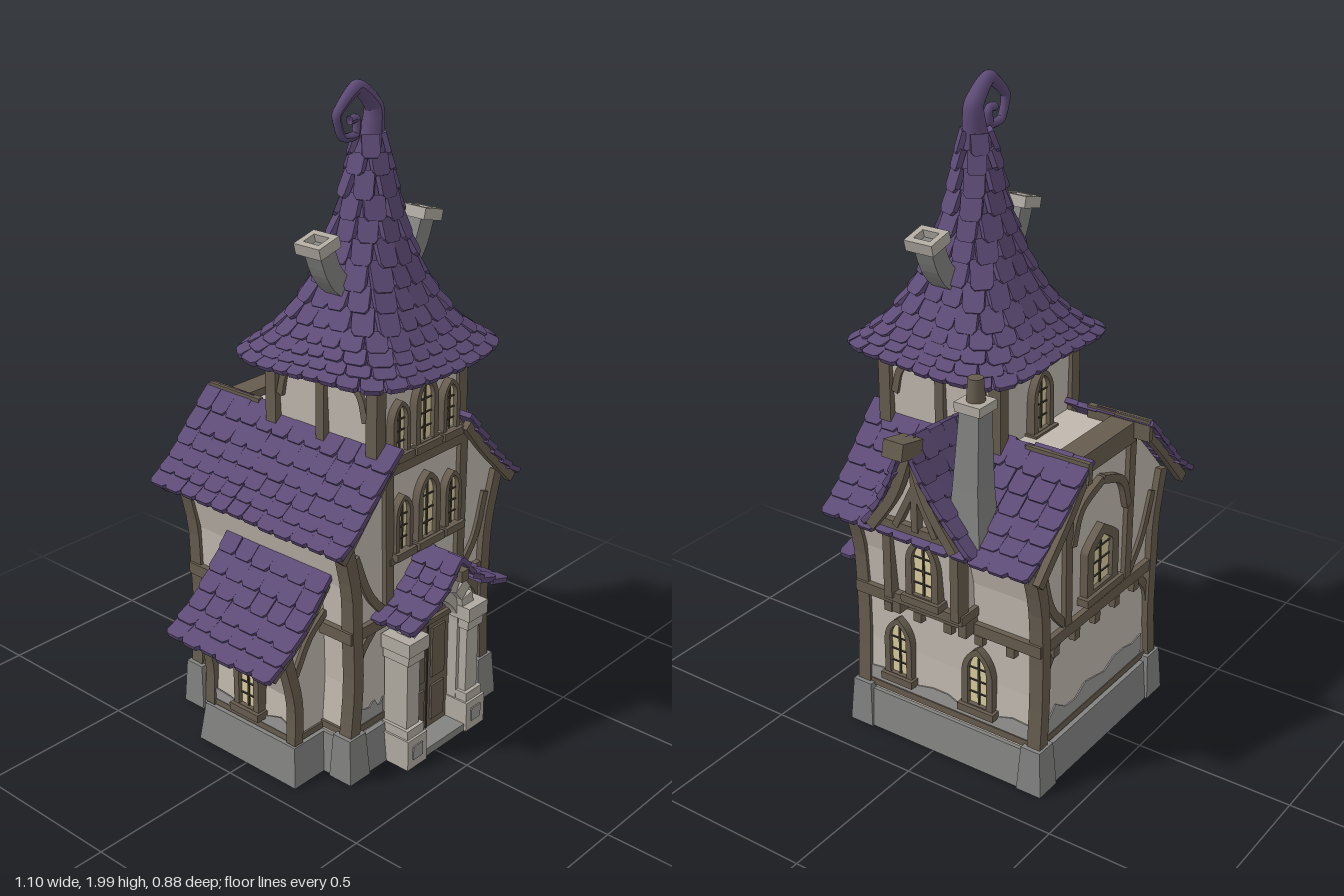
import * as THREE from 'three';
import { mergeGeometries } from 'three/addons/utils/BufferGeometryUtils.js';
import { ParametricGeometry } from 'three/addons/geometries/ParametricGeometry.js';

const mat = (name, color, side = THREE.FrontSide) => Object.assign(new THREE.MeshStandardMaterial({ color, side }), { name });
const M = {
  roof: mat('purple shingle', 0x5d4b76, THREE.DoubleSide), wood: mat('timber', 0x665c4e),
  wall: mat('cream plaster', 0xc0b8ae), trim: mat('pale stone', 0xb0aaa1),
  stone: mat('grey stone', 0x828281), stain: mat('bare plaster', 0x979694),
  pane: mat('warm glass', 0xd9cb9d), door: mat('door wood', 0x6a5f51), dark: mat('dark lead', 0x403a32),
};
const V = (x, y, z) => new THREE.Vector3(x, y, z);
let seed = 7;
const rnd = () => (seed = (seed * 16807) % 2147483647) / 2147483647;
const jit = (a) => (rnd() - 0.5) * 2 * a;

function add(g, name, geo, m) {
  const mesh = new THREE.Mesh(geo, m);
  mesh.name = name;
  g.add(mesh);
  return mesh;
}
// box given by its extents
function box(g, name, m, x0, x1, y0, y1, z0, z1) {
  const mesh = add(g, name, new THREE.BoxGeometry(x1 - x0, y1 - y0, z1 - z0), m);
  mesh.position.set((x0 + x1) / 2, (y0 + y1) / 2, (z0 + z1) / 2);
  return mesh;
}
// stacked rectangular sections: [y, x0, x1, z0, z1]
function loft(g, name, m, rings) {
  const pos = [], idx = [];
  for (const [y, x0, x1, z0, z1] of rings) pos.push(x0, y, z1, x1, y, z1, x1, y, z0, x0, y, z0);
  for (let r = 0; r < rings.length - 1; r++) for (let i = 0; i < 4; i++) {
    const a = r * 4 + i, b = r * 4 + (i + 1) % 4;
    idx.push(a, b, b + 4, a, b + 4, a + 4);
  }
  const t = rings.length * 4 - 4;
  idx.push(t, t + 1, t + 2, t, t + 2, t + 3, 3, 2, 1, 3, 1, 0);
  let geo = new THREE.BufferGeometry();
  geo.setAttribute('position', new THREE.Float32BufferAttribute(pos, 3));
  geo.setIndex(idx);
  geo = geo.toNonIndexed();
  geo.computeVertexNormals();
  return add(g, name, geo, m);
}
const extrude = (shape, depth) => new THREE.ExtrudeGeometry(shape, { depth, bevelEnabled: false, curveSegments: 8 });
// straight or curved timber lying in a face plane, from depth d0 outwards
function strip(g, name, pts, w, d0, depth, m = M.wood) {
  const curve = new THREE.CatmullRomCurve3(pts.map(([x, y]) => V(x, y, 0)));
  const n = pts.length > 2 ? 10 : 1, a = [], b = [];
  for (let i = 0; i <= n; i++) {
    const p = curve.getPoint(i / n), t = curve.getTangent(i / n);
    a.push(new THREE.Vector2(p.x - t.y * w / 2, p.y + t.x * w / 2));
    b.unshift(new THREE.Vector2(p.x + t.y * w / 2, p.y - t.x * w / 2));
  }
  add(g, name, extrude(new THREE.Shape([...a, ...b]), depth), m).position.z = d0;
}
function lancet(w, h, round = 0.9) {
  const s = new THREE.Shape(), k = h - w * round;
  s.moveTo(-w / 2, 0); s.lineTo(w / 2, 0); s.lineTo(w / 2, k);
  s.quadraticCurveTo(w / 2, h - w * 0.3, 0, h);
  s.quadraticCurveTo(-w / 2, h - w * 0.3, -w / 2, k);
  return s;
}
// pointed window with frame, glass, glazing bars and sill
function lancetWindow(face, u, y, w, h, d, round = 0.9) {
  const g = new THREE.Group();
  g.name = 'window';
  g.position.set(u, y, d);
  face.add(g);
  const frame = lancet(w, h, round), iw = w * 0.6, ih = h - w * 0.34;
  frame.holes.push(new THREE.Path(lancet(iw, ih, round).getPoints(8).map((p) => p.add(new THREE.Vector2(0, w * 0.14)))));
  add(g, 'windowFrame', extrude(frame, 0.035), M.wood).position.z = -0.015;
  add(g, 'windowGlass', new THREE.ShapeGeometry(lancet(iw, ih, round)), M.pane).position.set(0, w * 0.14, 0.006);
  box(g, 'glazingBar', M.dark, -0.003, 0.003, w * 0.14, ih, 0.004, 0.011);
  for (const f of [0.25, 0.45, 0.65]) box(g, 'glazingBar', M.dark, -iw / 2, iw / 2, h * f - 0.002, h * f + 0.002, 0.004, 0.01);
  box(g, 'windowSill', M.wood, -w * 0.58, w * 0.58, -0.012, 0.012, -0.015, 0.032);
}
// jagged patch of bare plaster along a wall foot
function stain(face, u0, u1, y, h, d) {
  const s = new THREE.Shape();
  s.moveTo(u1, y); s.lineTo(u0, y);
  for (let i = 0; i <= 10; i++) s.lineTo(u0 + (u1 - u0) * i / 10, y + h * (0.35 + 0.65 * rnd()));
  add(face, 'barePlaster', extrude(s, 0.004), M.stain).position.z = d;
}
// one shingle with clipped lower corners
const tile = extrude(new THREE.Shape([[-0.5, 0.5], [-0.5, -0.33], [-0.34, -0.5], [0.34, -0.5], [0.5, -0.33], [0.5, 0.5]]
  .reverse().map(([x, y]) => new THREE.Vector2(x, y))), 1);
// shingled surface: surf(u across, t downwards)
function shingles(g, name, surf, rows, tw = 0.065) {
  const parts = [];
  for (let r = 0; r < rows; r++) {
    const t = (r + 0.5) / rows;
    let L = 0;
    for (let i = 0; i < 24; i++) L += surf(i / 24, t).distanceTo(surf((i + 1) / 24, t));
    const cols = Math.max(2, Math.round(L / tw));
    for (let c = 0; c < cols; c++) {
      const u = (c + 0.5) / cols, e = 0.5 / cols, p = surf(u, t);
      const across = surf(u + e, t).sub(surf(u - e, t)), down = surf(u, t + 0.5 / rows).sub(surf(u, t - 0.5 / rows));
      const w = across.length() * (1.0 + jit(0.06)), len = down.length() * (1.28 + jit(0.14));
      across.normalize(); down.normalize();
      let n = down.clone().cross(across).normalize();
      if (n.y < 0) { across.negate(); n.negate(); }
      down.addScaledVector(n, 0.12 + jit(0.05)).normalize();
      n = down.clone().cross(across).normalize();
      const m = new THREE.Matrix4().makeBasis(across.multiplyScalar(w), down.multiplyScalar(-len), n.clone().multiplyScalar(0.016));
      parts.push(tile.clone().applyMatrix4(m.setPosition(p)));
    }
  }
  add(g, name, mergeGeometries(parts), M.roof);
  add(g, name + 'Base', new ParametricGeometry((u, t, o) => o.copy(surf(u, t)), 24, 12), M.roof);
}
const profile = (pts) => new THREE.CatmullRomCurve3(pts.map(([x, y]) => V(x, y, 0)));
const at = (c, t) => c.getPoint(Math.min(1, Math.max(0, t)));

export function createModel() {
  const root = new THREE.Group();
  root.name = 'crookedTowerHouse';
  const face = (name, turn) => {
    const g = new THREE.Group();
    g.name = name; g.rotation.y = turn * Math.PI / 2;
    root.add(g);
    return g;
  };
  const front = face('frontDetails', 0), right = face('plusXDetails', 1), back = face('backDetails', 2), left = face('minusXDetails', 3);

  // stone plinths and corner blocks
  loft(root, 'plinth', M.stone, [[0, -0.305, 0.378, -0.385, 0.305], [0.125, -0.29, 0.362, -0.37, 0.292]]);
  loft(root, 'wingPlinth', M.stone, [[0, -0.43, -0.28, -0.2, 0.2], [0.125, -0.415, -0.28, -0.185, 0.185]]);
  for (const [x, z] of [[-0.27, 0.27], [0.34, 0.27], [-0.27, -0.35], [0.34, -0.35]])
    loft(root, 'cornerBlock', M.stone, [[0, x - 0.042, x + 0.045, z - 0.042, z + 0.042], [0.145, x - 0.035, x + 0.035, z - 0.033, z + 0.033]]);

  // plaster walls
  loft(root, 'mainWalls', M.wall, [[0.12, -0.28, 0.35, -0.355, 0.275], [0.3, -0.265, 0.34, -0.355, 0.275], [0.47, -0.27, 0.34, -0.355, 0.275],
    [0.62, -0.275, 0.35, -0.355, 0.275], [0.78, -0.315, 0.39, -0.355, 0.275], [0.89, -0.215, 0.29, -0.355, 0.275], [0.985, -0.12, 0.21, -0.355, 0.275]]);
  loft(root, 'wingWalls', M.wall, [[0.12, -0.4, -0.25, -0.17, 0.17], [0.27, -0.39, -0.25, -0.17, 0.17], [0.41, -0.44, -0.25, -0.17, 0.17], [0.63, -0.27, -0.25, -0.17, 0.17]]);
  loft(root, 'towerWalls', M.wall, [[0.9, -0.13, 0.22, -0.14, 0.255], [1.24, -0.148, 0.235, -0.148, 0.262]]);
  loft(root, 'bayWalls', M.wall, [[0.53, 0.3, 0.4, -0.135, 0.115], [0.78, 0.3, 0.425, -0.14, 0.12], [1.03, 0.3, 0.45, -0.02, 0]]);

  // timber rails
  box(root, 'floorBeam', M.wood, -0.29, 0.36, 0.455, 0.492, -0.372, 0.292);
  box(root, 'footBeam', M.wood, -0.285, 0.356, 0.135, 0.157, -0.362, 0.282);
  box(root, 'towerBeam', M.wood, -0.148, 0.238, 0.925, 0.955, -0.15, 0.29);
  box(root, 'towerTopBeam', M.wood, -0.165, 0.25, 1.2, 1.235, -0.165, 0.278);
  box(root, 'deckBeam', M.wood, -0.125, 0.215, 0.945, 1.01, -0.378, -0.3);
  box(root, 'wingFootBeam', M.wood, -0.406, -0.26, 0.13, 0.15, -0.176, 0.176);
  box(front, 'sillRail', M.wood, -0.12, 0.215, 0.645, 0.665, 0.26, 0.295);
  for (const [f, us] of [[right, [-0.17, -0.06, 0.05, 0.16, 0.27]], [back, [-0.28, -0.17, -0.06, 0.05, 0.16]]])
    for (const u of us) box(f, 'joistEnd', M.wood, u - 0.014, u + 0.014, 0.425, 0.456, 0.33, f === right ? 0.362 : 0.375);

  // curved posts, braces and rafters of front and back
  for (const [f, s, d] of [[front, 1, 0.25], [back, -1, 0.33]]) {
    const P = (pts) => pts.map(([x, y]) => [x * s, y]);
    const st = (name, pts, w = 0.034, dep = 0.04) => strip(f, name, P(pts), w, d, dep);
    st('cornerPost', [[-0.272, 0.14], [-0.257, 0.3], [-0.262, 0.48], [-0.268, 0.62], [-0.305, 0.78]], 0.04, 0.045);
    st('cornerPost', [[0.342, 0.14], [0.332, 0.3], [0.332, 0.48], [0.342, 0.62], [0.385, 0.78]], 0.04, 0.045);
    st('innerPost', [[-0.115, 0.48], [-0.125, 0.97]]);
    st('innerPost', [[0.21, 0.48], [0.215, 0.97]]);
    st('brace', [[-0.26, 0.72], [-0.2, 0.58], [-0.125, 0.49]], 0.026, 0.036);
    st('brace', [[0.335, 0.72], [0.29, 0.58], [0.215, 0.49]], 0.026, 0.036);
    st('lowBrace', [[-0.255, 0.32], [-0.235, 0.4], [-0.18, 0.46]], 0.026, 0.036);
    st('lowBrace', [[0.33, 0.32], [0.305, 0.4], [0.25, 0.46]], 0.026, 0.036);
    const o = s > 0 ? 0.04 : 0.07;
    strip(f, 'rafter', P([[-0.12, 0.985], [-0.23, 0.872], [-0.345, 0.745]]), 0.03, d + o, 0.022);
    strip(f, 'rafter', P([[0.205, 0.985], [0.29, 0.885], [0.435, 0.74]]), 0.03, d + o, 0.022);
  }
  for (const x of [-0.118, 0.208]) box(root, 'deckEdge', M.wood, x - 0.01, x + 0.01, 0.96, 1.025, -0.43, -0.22);
  // tower corner posts and arched side braces
  for (const x of [-0.14, 0.227]) for (const z of [-0.138, 0.25]) box(root, 'towerPost', M.wood, x - 0.02, x + 0.02, 0.95, 1.22, z - 0.02, z + 0.02);
  for (const [f, c, d] of [[right, -0.056, 0.222], [left, 0.056, 0.138]]) {
    box(f, 'towerStud', M.wood, c - 0.015, c + 0.015, 0.95, 1.22, d - 0.02, d + 0.022);
    for (const s of [-1, 1]) strip(f, 'towerBrace', [[c + s * 0.165, 1.08], [c + s * 0.14, 1.16], [c + s * 0.07, 1.2]], 0.022, d - 0.02, 0.036);
  }
  // wing posts
  for (const [f, s] of [[front, 1], [back, -1]]) {
    strip(f, 'wingPost', [[-0.395 * s, 0.13], [-0.395 * s, 0.27], [-0.435 * s, 0.43]], 0.034, 0.15, 0.035);
    strip(f, 'wingRafter', [[-0.27 * s, 0.63], [-0.38 * s, 0.5], [-0.51 * s, 0.4]], 0.026, 0.172, 0.026);
    strip(f, 'wingBrace', [[-0.4 * s, 0.36], [-0.34 * s, 0.46], [-0.27 * s, 0.52]], 0.022, 0.15, 0.032);
  }
  // bay timbers on the +x side
  box(right, 'baySill', M.wood, -0.13, 0.15, 0.515, 0.545, 0.3, 0.425);
  box(right, 'bayRail', M.wood, -0.13, 0.15, 0.775, 0.8, 0.3, 0.45);
  for (const u of [-0.108, 0.13]) {
    strip(right, 'bayPost', [[u, 0.53], [u, 0.8]], 0.028, 0.385, 0.05);
    strip(right, 'bayBracket', [[u, 0.46], [u, 0.53]], 0.028, 0.33, 0.07);
  }
  for (const s of [-1, 1]) {
    strip(right, 'bayVerge', [[0.01, 1.06], [0.01 + s * 0.06, 0.9], [0.01 + s * 0.145, 0.775]], 0.03, 0.445, 0.03);
    strip(right, 'bayBrace', [[0.01, 0.93], [0.01 + s * 0.07, 0.79]], 0.02, 0.43, 0.025);
  }
  strip(right, 'bayKingPost', [[0.01, 0.79], [0.01, 1.04]], 0.022, 0.43, 0.025);
  box(root, 'bayRidgeEnd', M.wood, 0.45, 0.54, 1.045, 1.095, -0.043, 0.025).rotation.z = 0.2;

  // windows
  for (const [y, hc, hs, d] of [[0.67, 0.22, 0.185, 0.28], [0.97, 0.215, 0.17, 0.265]]) {
    lancetWindow(front, 0.046, y, 0.1, hc, d);
    for (const s of [-1, 1]) lancetWindow(front, 0.046 + s * 0.112, y, 0.075, hs, d);
  }
  lancetWindow(right, -0.135, 0.2, 0.1, 0.21, 0.345);
  lancetWindow(right, 0.155, 0.2, 0.11, 0.21, 0.345);
  lancetWindow(right, 0.015, 0.555, 0.115, 0.21, 0.415);
  lancetWindow(back, -0.045, 0.53, 0.17, 0.22, 0.36, 0.4);
  lancetWindow(back, -0.045, 0.98, 0.1, 0.2, 0.15);
  lancetWindow(left, 0, 0.18, 0.1, 0.2, 0.405);
  for (const s of [-1, 1]) strip(back, 'archBrace', [[-0.045 + s * 0.15, 0.74], [-0.045 + s * 0.11, 0.84], [-0.045, 0.89]], 0.026, 0.345, 0.03);
  stain(back, -0.31, 0.23, 0.155, 0.09, 0.355);
  stain(right, -0.25, 0.33, 0.155, 0.06, 0.348);
  stain(front, -0.25, -0.13, 0.155, 0.06, 0.275);
  stain(front, 0.22, 0.32, 0.155, 0.06, 0.275);
  stain(left, -0.15, 0.15, 0.15, 0.05, 0.4);

  // doorway: door, arch, columns, step
  const porch = new THREE.Group();
  porch.name = 'porch'; porch.position.x = 0.042;
  root.add(porch);
  const arch = lancet(0.31, 0.575, 0.62);
  arch.holes.push(new THREE.Path(lancet(0.2, 0.49, 0.6).getPoints(8)));
  add(porch, 'stoneArch', extrude(arch, 0.07), M.trim).position.z = 0.27;
  add(porch, 'door', extrude(lancet(0.205, 0.49, 0.6), 0.03), M.door).position.z = 0.275;
  box(porch, 'doorGap', M.dark, -0.003, 0.003, 0.02, 0.4, 0.3, 0.308);
  box(porch, 'doorTransom', M.wood, -0.1, 0.1, 0.395, 0.412, 0.29, 0.318);
  for (const s of [-1, 1]) {
    for (const [y0, y1] of [[0.05, 0.17], [0.2, 0.37]]) box(porch, 'doorPanel', M.wood, s * 0.047 - 0.03, s * 0.047 + 0.03, y0, y1, 0.3, 0.312);
    const x = s * 0.14, block = (n, w, y0, y1, z1) => box(porch, n, M.trim, x - w, x + w, y0, y1, 0.28, z1);
    block('columnBase', 0.044, 0, 0.1, 0.388);
    block('columnFoot', 0.038, 0.1, 0.13, 0.38);
    block('columnShaft', 0.028, 0.13, 0.35, 0.368);
    block('columnNeck', 0.036, 0.35, 0.385, 0.378);
    block('columnCapital', 0.045, 0.385, 0.43, 0.388);
    box(porch, 'columnPanel', M.stain, x - 0.022, x + 0.022, 0.03, 0.075, 0.387, 0.392);
  }
  for (let i = 0; i < 7; i++) { // arch stones
    const a = Math.PI * (i + 0.5) / 7, b = add(porch, 'archStone', new THREE.BoxGeometry(0.045, 0.052, 0.05), M.trim);
    b.position.set(Math.cos(a) * 0.125, 0.41 + Math.sin(a) * 0.125, 0.335);
    b.rotation.z = a - Math.PI / 2;
  }
  box(porch, 'doorStep', M.stone, -0.18, 0.18, 0, 0.025, 0.28, 0.38);
  box(porch, 'porchRidgeBeam', M.wood, -0.016, 0.016, 0.585, 0.62, 0.27, 0.44);

  // shingled slopes
  const mainL = profile([[-0.115, 1.01], [-0.21, 0.905], [-0.285, 0.825], [-0.362, 0.765]]);
  const mainR = profile([[0.2, 1.015], [0.285, 0.91], [0.365, 0.82], [0.45, 0.75]]);
  const wing = profile([[-0.265, 0.655], [-0.35, 0.55], [-0.44, 0.465], [-0.535, 0.405]]);
  const slope = (c, z0, z1) => (u, t) => { const p = at(c, t); p.z = z0 + (z1 - z0) * u; return p; };
  shingles(root, 'minusXRoof', slope(mainL, -0.44, 0.325), 6);
  shingles(root, 'plusXRoof', (u, t) => { const p = at(mainR, t); p.z = -0.43 + 0.04 * t + (0.755 - 0.04 * t) * u; return p; }, 6);
  shingles(root, 'wingRoof', slope(wing, -0.21, 0.21), 6);
  for (const s of [-1, 1]) {
    const c = profile([[0, 0.645], [s * 0.08, 0.555], [s * 0.215, 0.485]]);
    shingles(porch, 'porchRoof', slope(c, 0.27, 0.43), 5, 0.05);
    const k = s > 0 ? 0.165 : 0.185, b = profile([[0, 1.06], [0.42 * k, 0.91], [k, 0.77]]);
    shingles(root, 'bayRoof', (u, t) => {
      const p = at(b, t), x0 = 0.21 + 0.12 * t;
      return V(x0 + (0.505 - 0.035 * t - x0) * u, p.y + 0.02 * u * (1 - t), -0.01 + s * p.x);
    }, 6, 0.06);
  }

  // tower spire: squarish at the eaves, round at the top
  const spire = profile([[0.034, 1.83], [0.05, 1.74], [0.072, 1.63], [0.102, 1.52], [0.145, 1.41], [0.2, 1.315], [0.255, 1.255], [0.305, 1.215]]);
  shingles(root, 'spireRoof', (u, t) => {
    const p = at(spire, t), a = u * Math.PI * 2, n = 2 + 2.6 * Math.min(1, Math.max(0, t));
    const r = p.x / Math.pow(Math.abs(Math.cos(a)) ** n + Math.abs(Math.sin(a)) ** n, 1 / n);
    return V(0.055 - 0.023 * t + r * Math.cos(a), p.y + 0.008 * t * Math.sin(a * 3), 0.052 + 0.02 * t + r * Math.sin(a) * 0.96);
  }, 13, 0.062);

  // curled spire tip, tapering along its path
  const curl = new THREE.CatmullRomCurve3([[0.052, 1.74], [0.064, 1.83], [0.07, 1.91], [0, 1.972], [-0.08, 1.91],
    [-0.06, 1.845], [-0.005, 1.84], [0.0, 1.885], [-0.03, 1.885]].map(([x, y]) => V(x, y, 0.052)), false, 'catmullrom', 0.3);
  const tip = new THREE.TubeGeometry(curl, 80, 0.045, 10), tp = tip.attributes.position, q = V(0, 0, 0);
  for (let i = 0; i < tp.count; i++) {
    const f = Math.floor(i / 11) / 80;
    q.fromBufferAttribute(tp, i).lerp(curl.getPointAt(f), Math.min(0.72, 1.45 * f - 0.6 * f * f));
    tp.setXYZ(i, q.x, q.y, q.z);
  }
  tip.computeVertexNormals();
  add(root, 'curledTip', tip, M.roof);

  // bent chimneys on the spire
  for (const s of [-1, 1]) {
    const g = new THREE.Group();
    g.name = 'bentChimney'; g.position.set(0.038, 0, 0.073);
    root.add(g);
    strip(g, 'chimneyElbow', [[s * 0.08, 1.42], [s * 0.145, 1.445], [s * 0.185, 1.49], [s * 0.217, 1.565]], 0.06, -0.03, 0.06, M.stone);
    const rim = new THREE.Shape([[-1, -1], [1, -1], [1, 1], [-1, 1]].map(([x, y]) => new THREE.Vector2(x * 0.042, y * 0.047)));
    rim.holes.push(new THREE.Path([[-1, -1], [-1, 1], [1, 1], [1, -1]].map(([x, y]) => new THREE.Vector2(x * 0.022, y * 0.028))));
    const cap = add(g, 'chimneyRim', extrude(rim, 0.034).rotateX(-Math.PI / 2), M.trim);
    cap.position.set(s * 0.217, 1.557, 0);
    cap.rotation.z = -s * 0.25;
  }

  // side chimney with pot
  loft(root, 'sideChimney', M.stone, [[0.76, 0.33, 0.43, -0.215, -0.1], [0.95, 0.335, 0.415, -0.2, -0.115], [1.18, 0.338, 0.4, -0.195, -0.13]]);
  box(root, 'sideChimneyCap', M.trim, 0.328, 0.41, 1.175, 1.203, -0.205, -0.12);
  add(root, 'chimneyPot', new THREE.CylinderGeometry(0.022, 0.027, 0.07, 10), M.wood).position.set(0.368, 1.235, -0.163);
  return root;
}
